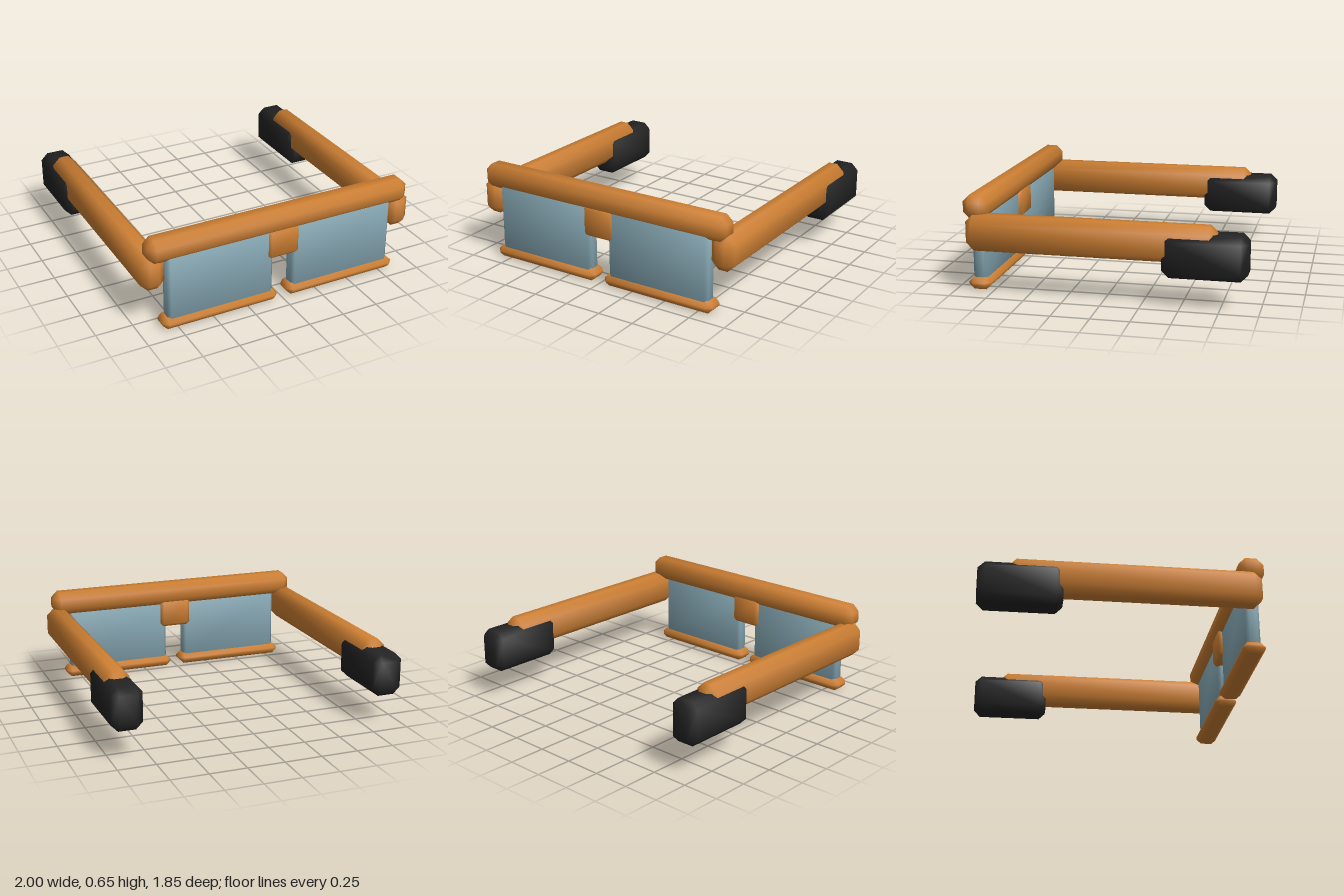
import * as THREE from 'three';
import { ConvexGeometry } from 'three/addons/geometries/ConvexGeometry.js';

// Chamfered box between two corners, with normals blended softly over the bevels
function bevelBox(min, max, c) {
  const centre = min.map((v, i) => (v + max[i]) / 2);
  const half = min.map((v, i) => (max[i] - v) / 2);
  const points = [];
  for (const sx of [-1, 1]) for (const sy of [-1, 1]) for (const sz of [-1, 1]) {
    for (let axis = 0; axis < 3; axis++) {
      const p = [sx, sy, sz].map((s, i) => s * (half[i] - (i === axis ? 0 : c)));
      points.push(new THREE.Vector3(...p));
    }
  }
  const geometry = new ConvexGeometry(points);
  const pos = geometry.attributes.position;
  const normal = geometry.attributes.normal;
  for (let i = 0; i < pos.count; i++) {
    const p = [pos.getX(i), pos.getY(i), pos.getZ(i)];
    const n = p.map((v, k) => Math.sign(v) * (half[k] - Math.abs(v) < c / 2 ? 1 : 0.35));
    const v = new THREE.Vector3(...n).normalize();
    normal.setXYZ(i, v.x, v.y, v.z);
  }
  return geometry.translate(...centre);
}

export function createModel() {
  const wood = new THREE.MeshStandardMaterial({ color: 0xcd7f32 });
  const glass = new THREE.MeshStandardMaterial({ color: 0x87a9b5 });
  const rubber = new THREE.MeshStandardMaterial({ color: 0x222222 });
  wood.name = 'orange wood';
  glass.name = 'blue grey glass';
  rubber.name = 'black rubber';

  const model = new THREE.Group();
  model.name = 'glasses';
  const add = (name, material, min, max, c) => {
    const mesh = new THREE.Mesh(bevelBox(min, max, c), material);
    mesh.name = name;
    model.add(mesh);
  };
  // Mirrored pair, given by the extents on the +x side
  const addPair = (name, material, min, max, c) => {
    add('left' + name, material, min, max, c);
    add('right' + name, material, [-max[0], min[1], min[2]], [-min[0], max[1], max[2]], c);
  };

  // Front frame
  add('browBar', wood, [-0.938, 0.49, 0.757], [0.938, 0.652, 0.923], 0.046);
  add('bridge', wood, [-0.115, 0.317, 0.775], [0.115, 0.522, 0.912], 0.022);
  addPair('Lens', glass, [0.07, 0.04, 0.803], [0.815, 0.54, 0.897], 0.02);
  addPair('LowerRim', wood, [0.038, 0, 0.775], [0.852, 0.08, 0.922], 0.032);

  // Arms and their ear tips
  addPair('Temple', wood, [0.815, 0.292, -0.733], [0.98, 0.532, 0.897], 0.052);
  addPair('EarTip', rubber, [0.793, 0.198, -0.925], [1, 0.485, -0.383], 0.046);
  return model;
}
